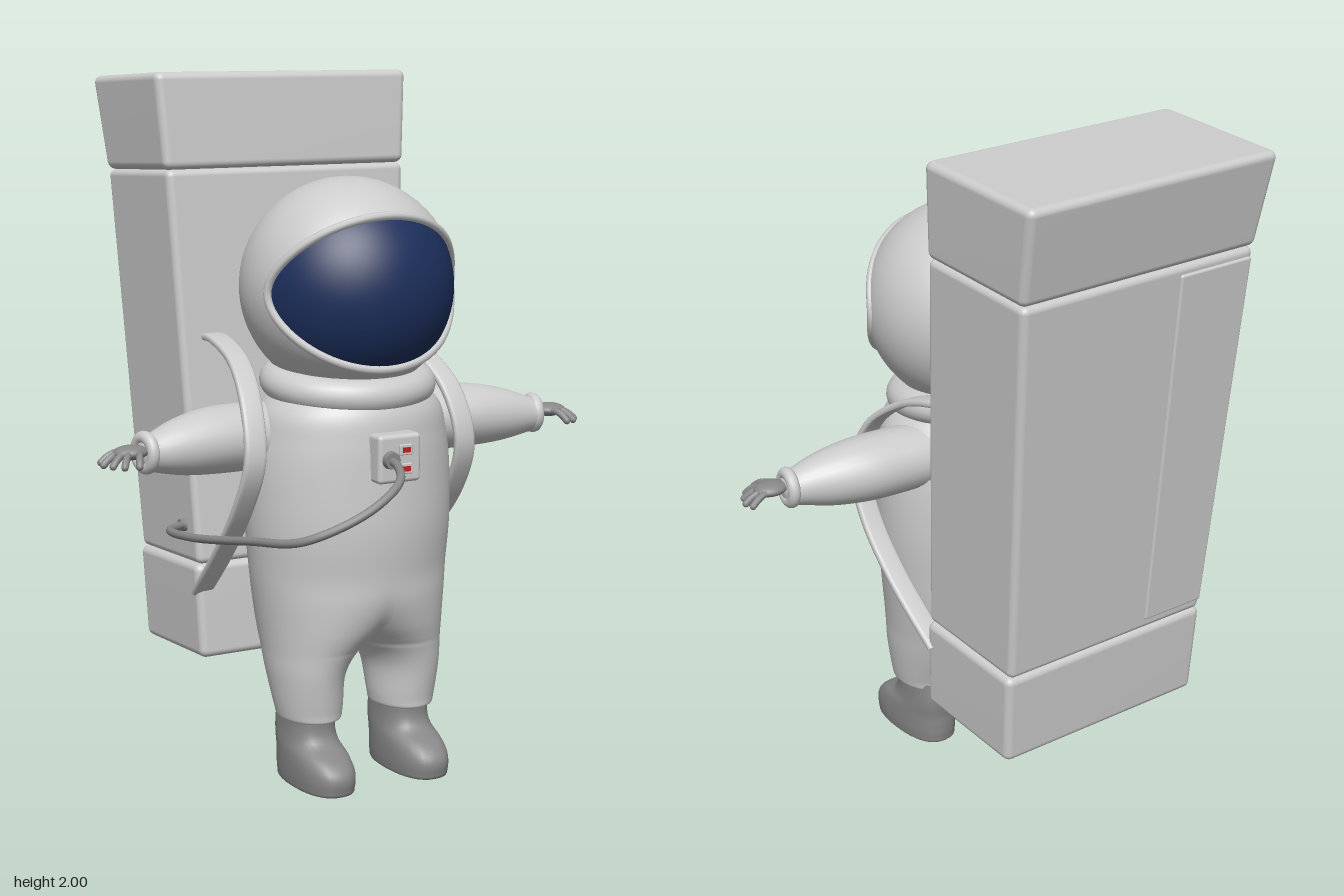
import * as THREE from 'three';
import { mergeGeometries, mergeVertices } from 'three/addons/utils/BufferGeometryUtils.js';
import { RoundedBoxGeometry } from 'three/addons/geometries/RoundedBoxGeometry.js';

const V = (x, y, z) => new THREE.Vector3(x, y, z);
const lerp = THREE.MathUtils.lerp;
const paint = (color) => new THREE.MeshStandardMaterial({ color });

// Catmull-Rom through rows of numbers, n steps per row
function spline(rows, n) {
  const out = [];
  const last = rows.length - 1;
  for (let i = 0; i < last; i++) {
    const a = rows[Math.max(i - 1, 0)], b = rows[i], c = rows[i + 1], d = rows[Math.min(i + 2, last)];
    for (let k = 0; k < n; k++) {
      const t = k / n;
      out.push(b.map((p, j) => {
        const cubic = 3 * (p - c[j]) + d[j] - a[j];
        const square = 2 * a[j] - 5 * p + 4 * c[j] - d[j];
        return p + 0.5 * t * (c[j] - a[j] + t * (square + t * cubic));
      }));
    }
  }
  out.push(rows[last]);
  return out;
}

// Skin over rings of points; each ring repeats its first point to close
function loft(rings) {
  const pos = [], index = [], w = rings[0].length;
  rings.forEach((ring) => ring.forEach((p) => pos.push(p.x, p.y, p.z)));
  for (let i = 0; i < rings.length - 1; i++) {
    for (let j = 0; j < w - 1; j++) {
      const a = i * w + j, c = a + w;
      index.push(a, c, a + 1, a + 1, c, c + 1);
    }
  }
  const g = new THREE.BufferGeometry();
  g.setAttribute('position', new THREE.Float32BufferAttribute(pos, 3));
  g.setIndex(index);
  return g;
}

function smooth(g) {
  g.deleteAttribute('normal');
  g.deleteAttribute('uv');
  const m = mergeVertices(g, 1e-5);
  m.computeVertexNormals();
  return m;
}

// Rows [x, y, z, width, thickness] swept with the width kept along a fixed axis
function sweep(rows, axis, sides, power = 1) {
  const pts = spline(rows, 8);
  const bend = (v) => Math.sign(v) * Math.abs(v) ** power;
  return smooth(loft(pts.map((r, i) => {
    const a = pts[Math.max(i - 1, 0)], b = pts[Math.min(i + 1, pts.length - 1)];
    const n = V(b[0] - a[0], b[1] - a[1], b[2] - a[2]).cross(axis).normalize();
    return Array.from({ length: sides + 1 }, (_, j) => {
      const t = (j / sides) * Math.PI * 2;
      return V(r[0], r[1], r[2]).addScaledVector(axis, r[3] * bend(Math.cos(t)))
        .addScaledVector(n, -r[4] * bend(Math.sin(t)));
    });
  })));
}

// Torso and both legs in one skin; rows [y, outer x, inner x, centre z, half depth]
function suitGeometry() {
  const rows = spline([
    [0.2, 0.2, 0.11, 0.225, 0.05], [0.19, 0.235, 0.07, 0.225, 0.105], [0.22, 0.247, 0.06, 0.225, 0.113],
    [0.32, 0.262, 0.05, 0.212, 0.142], [0.39, 0.268, 0, 0.2, 0.17], [0.46, 0.276, -0.1, 0.19, 0.207],
    [0.54, 0.286, -0.22, 0.185, 0.235], [0.62, 0.295, -0.295, 0.182, 0.246], [0.75, 0.305, -0.305, 0.182, 0.256],
    [0.9, 0.304, -0.304, 0.182, 0.25], [1.0, 0.29, -0.29, 0.185, 0.24], [1.08, 0.265, -0.265, 0.19, 0.22],
    [1.15, 0.19, -0.19, 0.19, 0.17]], 6);
  const half = (side) => rows.map(([y, o, inner, cz, rz]) => {
    const e = Math.max(inner, -o), cx = (o + e) / 2, rx = (o - e) / 2;
    const t0 = Math.acos(Math.max(-1, -cx / rx));
    return Array.from({ length: 41 }, (_, j) => {
      const t = side * t0 * (j / 20 - 1);
      const x = e <= 0 && j % 40 === 0 ? 0 : cx + rx * Math.cos(t);
      return V(side * x, y, cz + rz * Math.sin(t));
    });
  });
  return smooth(mergeGeometries([loft(half(1)), loft(half(-1))]));
}

// Rows [y, heel z, toe z, half width]
function bootGeometry() {
  const rows = spline([[0, 0.26, 0.28, 0.005], [0, 0.13, 0.41, 0.07], [0.02, 0.113, 0.43, 0.08], [0.06, 0.11, 0.43, 0.081],
    [0.095, 0.11, 0.395, 0.079], [0.125, 0.106, 0.335, 0.075], [0.16, 0.104, 0.315, 0.072], [0.21, 0.11, 0.315, 0.07]], 4);
  return smooth(loft(rows.map(([y, z0, z1, w]) => Array.from({ length: 33 }, (_, j) => {
    const t = (j / 32) * Math.PI * 2, c = Math.cos(t), s = Math.sin(t);
    return V(0.155 + w * Math.sign(c) * Math.abs(c) ** 0.8, Math.max(y, 0),
      (z0 + z1) / 2 + (z1 - z0) / 2 * Math.sign(s) * Math.abs(s) ** 0.85);
  }))));
}

// Visor opening on a sphere: point of the rim at angle phi
const rimPoint = (phi, r) => {
  const x = 0.298 * Math.cos(phi), y = 0.213 * Math.sin(phi);
  return V(x, y, Math.sqrt(0.307 ** 2 - x * x - y * y)).setLength(r);
};
// Sphere part in front of the rim or behind it
function domeGeometry(r, front) {
  const rings = [];
  for (let i = 0; i <= 28; i++) {
    rings.push(Array.from({ length: 65 }, (_, j) => {
      const p = rimPoint((j / 64) * Math.PI * 2, 1);
      const rim = Math.acos(p.z), a = Math.atan2(p.y, p.x);
      const t = front ? rim * i / 28 : lerp(rim, Math.PI, i / 28);
      return V(r * Math.sin(t) * Math.cos(a), r * Math.sin(t) * Math.sin(a), r * Math.cos(t));
    }));
  }
  return smooth(loft(rings));
}

// Rounded block between two slanted ends: [x, half width, front y, front z, back y, back z]
function blockGeometry(bottom, top, radius) {
  const h = top[2] - bottom[2], d = bottom[3] - bottom[5], w = bottom[1] * 2;
  const g = new RoundedBoxGeometry(w, h, d, 4, radius);
  const p = g.attributes.position;
  for (let i = 0; i < p.count; i++) {
    const u = p.getX(i) / w * 2, v = p.getY(i) / h + 0.5, f = 0.5 - p.getZ(i) / d;
    const [x, hw, yf, zf, yb, zb] = bottom.map((b, k) => lerp(b, top[k], v));
    p.setXYZ(i, x + u * hw, lerp(yf, yb, f), lerp(zf, zb, f));
  }
  return smooth(g);
}

export function createModel() {
  const model = new THREE.Group();
  const white = paint(0xcccccc), grey = paint(0x888888), navy = paint(0x1c2f5c), red = paint(0xc02020);
  const add = (name, geometry, material = white, parent = model) => {
    const m = new THREE.Mesh(geometry, material);
    m.name = name;
    parent.add(m);
    return m;
  };

  add('suit', suitGeometry());
  const collar = add('collar', new THREE.TorusGeometry(0.2, 0.055, 20, 56).rotateX(Math.PI / 2).scale(1, 0.9, 0.93));
  collar.position.set(0, 1.14, 0.18);
  collar.rotation.x = 0.1;

  // Helmet
  const helmet = new THREE.Group();
  helmet.name = 'helmet';
  helmet.position.set(0, 1.41, 0.18);
  model.add(helmet);
  add('helmetShell', domeGeometry(0.306, false), white, helmet);
  add('visor', domeGeometry(0.299, true), navy, helmet);
  const rim = new THREE.CatmullRomCurve3(
    Array.from({ length: 48 }, (_, i) => rimPoint((i / 48) * Math.PI * 2, 0.304)), true);
  add('visorRim', new THREE.TubeGeometry(rim, 128, 0.012, 8, true), white, helmet);

  // Limbs, straps and boots, built on the left and mirrored
  const left = new THREE.Group();
  left.name = 'leftSide';
  add('arm', sweep([[0.2, 1, 0.13, 0.1, 0.09], [0.3, 1, 0.14, 0.104, 0.095], [0.42, 1, 0.15, 0.104, 0.093],
    [0.52, 0.995, 0.165, 0.086, 0.08], [0.6, 0.99, 0.18, 0.06, 0.058], [0.64, 0.99, 0.185, 0.045, 0.042],
    [0.655, 0.99, 0.187, 0.005, 0.005]], V(0, 0, 1), 28), white, left);
  const cuff = add('cuff', new THREE.TorusGeometry(0.042, 0.018, 12, 28).rotateY(Math.PI / 2), white, left);
  cuff.position.set(0.635, 0.992, 0.185);
  cuff.rotation.y = -0.15;
  const palm = add('palm', new THREE.SphereGeometry(1, 20, 14).scale(0.05, 0.02, 0.043), grey, left);
  palm.position.set(0.685, 1.0, 0.2);
  [[0.76, 0.975, 0.172], [0.765, 0.973, 0.202], [0.752, 0.973, 0.235], [0.73, 0.973, 0.262], [0.695, 0.975, 0.28]]
    .forEach(([x, y, z], i) => {
      const from = V(i === 4 ? 0.672 : 0.695, 1.0, 0.178 + 0.013 * i);
      const path = new THREE.QuadraticBezierCurve3(from, V((from.x + x) / 2, 1.005, (from.z + z) / 2), V(x, y, z));
      const finger = i === 4 ? 'thumb' : 'finger';
      add(finger, new THREE.TubeGeometry(path, 8, 0.01, 10), grey, left);
      add(finger + 'Tip', new THREE.SphereGeometry(0.01, 10, 8), grey, left).position.set(x, y, z);
    });
  add('boot', bootGeometry(), grey, left);
  add('strap', sweep([[0.27, 1.24, -0.17], [0.28, 1.245, -0.07], [0.295, 1.2, 0.08], [0.325, 1.1, 0.21], [0.342, 0.95, 0.265],
    [0.35, 0.8, 0.2], [0.345, 0.65, 0.07], [0.33, 0.5, -0.1]].map((p) => [...p, 0.033, 0.011]), V(1, 0, 0), 16, 0.5), white, left);
  const right = left.clone();
  right.name = 'rightSide';
  right.scale.x = -1;
  model.add(left, right);

  // Backpack in three stacked blocks with a raised panel behind
  add('packBase', blockGeometry([0, 0.345, 0.305, -0.065, 0.285, -0.45], [0, 0.355, 0.585, -0.08, 0.565, -0.47], 0.022));
  add('packBody', blockGeometry([0, 0.347, 0.585, -0.08, 0.565, -0.47], [0, 0.393, 1.725, -0.165, 1.705, -0.58], 0.02));
  add('packTop', blockGeometry([0, 0.396, 1.725, -0.165, 1.705, -0.58], [0, 0.415, 2, -0.185, 1.98, -0.637], 0.022));
  add('packPanel', blockGeometry([-0.235, 0.105, 0.6, -0.44, 0.6, -0.481], [-0.255, 0.125, 1.68, -0.54, 1.68, -0.586], 0.007));

  // Chest control box
  const box = new THREE.Group();
  box.name = 'controlBox';
  box.position.set(0, 0.962, 0.435);
  model.add(box);
  add('controlCase', new RoundedBoxGeometry(0.135, 0.135, 0.07, 4, 0.012), white, box);
  for (const y of [0.025, -0.028]) {
    add('switchPlate', new RoundedBoxGeometry(0.04, 0.03, 0.01, 2, 0.003), white, box).position.set(0.015, y, 0.036);
    add('switch', new THREE.BoxGeometry(0.024, 0.014, 0.01), red, box).position.set(0.016, y, 0.039);
  }
  const socket = new THREE.CylinderGeometry(0.023, 0.026, 0.025, 24).rotateX(Math.PI / 2);
  add('hoseSocket', socket, grey, box).position.set(-0.033, 0, 0.04);

  // Hose from the chest round to the side of the pack
  const hose = new THREE.CatmullRomCurve3([V(-0.033, 0.962, 0.46), V(-0.04, 0.955, 0.52), V(-0.085, 0.925, 0.6),
    V(-0.2, 0.86, 0.624), V(-0.35, 0.79, 0.56), V(-0.41, 0.755, 0.355), V(-0.443, 0.71, 0.07),
    V(-0.428, 0.695, -0.1), V(-0.34, 0.69, -0.17)]);
  add('hose', new THREE.TubeGeometry(hose, 96, 0.012, 12), grey);
  const plug = new THREE.CylinderGeometry(0.018, 0.018, 0.02, 20).rotateZ(Math.PI / 2);
  add('hosePlug', plug, grey).position.set(-0.358, 0.69, -0.16);
  return model;
}
